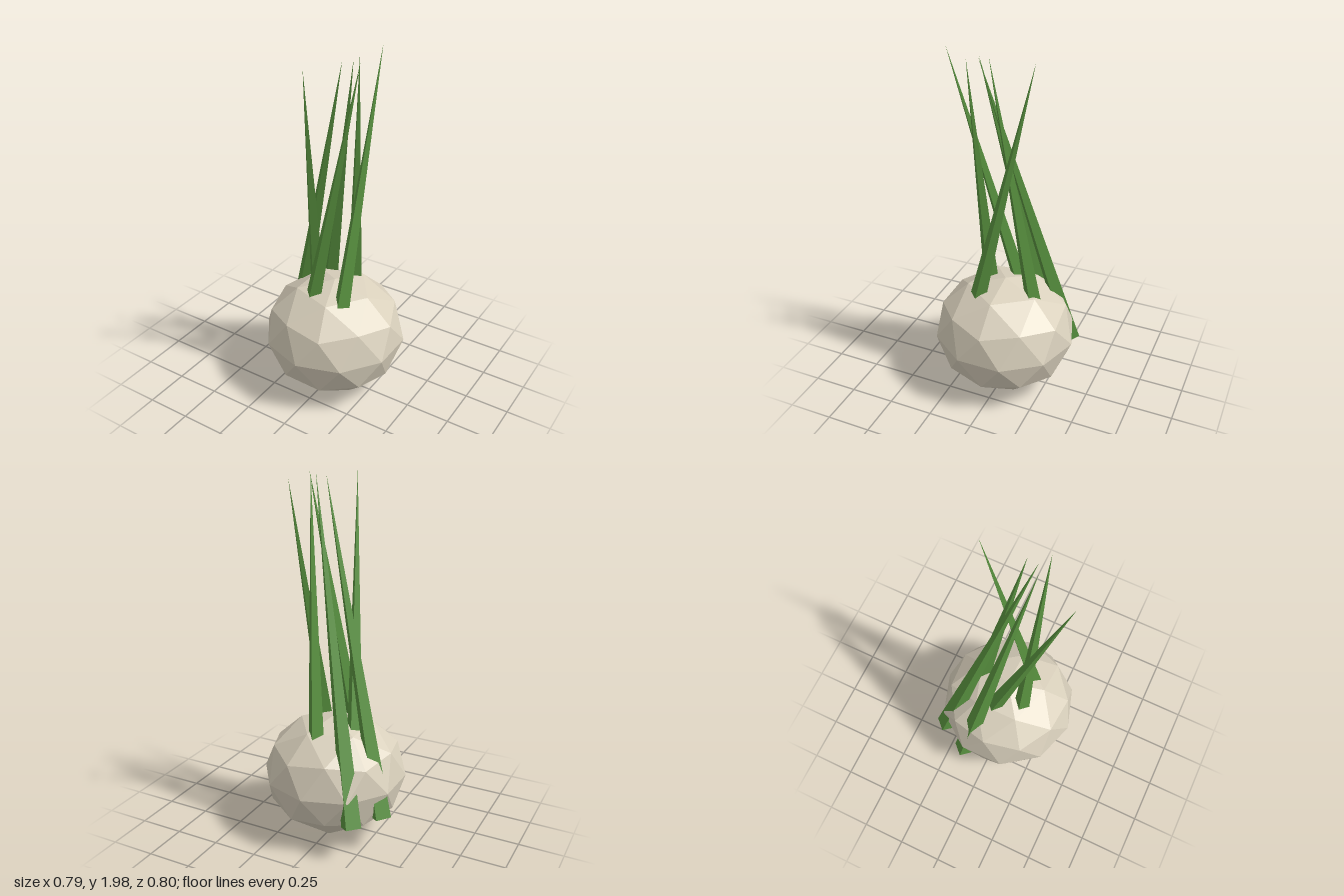
import * as THREE from 'three';

export function createModel() {
  const model = new THREE.Group();
  model.name = 'sproutingBulb';

  const bulbMat = new THREE.MeshStandardMaterial({ color: 0xd9d0bc, flatShading: true });
  bulbMat.name = 'bulb cream';
  const leafMat = new THREE.MeshStandardMaterial({ color: 0x5a9440, flatShading: true });
  leafMat.name = 'leaf green';

  // Bulb: faceted ball with a corner at each pole, slightly squashed
  const bulbGeo = new THREE.IcosahedronGeometry(1, 1);
  bulbGeo.rotateX(-Math.atan2(1 + Math.sqrt(5), 2));
  bulbGeo.rotateY(Math.PI / 2);
  bulbGeo.scale(0.4, 0.34, 0.4);
  const bulb = new THREE.Mesh(bulbGeo, bulbMat);
  bulb.name = 'bulb';
  bulb.position.set(0.012, 0.342, 0);
  model.add(bulb);

  // Leaves: slender four-sided spikes, each from a base centre to a tip
  const leaves = [
    [[-0.242, 0.2, -0.307], [0.16, 1.98, 0.075]],
    [[-0.338, 0.2, -0.137], [0.11, 1.97, 0.095]],
    [[0.0, 0.2, -0.23], [0.16, 1.985, 0.02]],
    [[-0.135, 0.2, 0.12], [0.218, 1.985, 0.11]],
    [[0.122, 0.2, 0.21], [0.155, 1.98, -0.213]],
    [[-0.17, 0.2, -0.13], [0.035, 1.97, 0.31]],
  ];
  const up = new THREE.Vector3(0, 1, 0);
  leaves.forEach(([from, to], i) => {
    const base = new THREE.Vector3(...from);
    const axis = new THREE.Vector3(...to).sub(base);
    const length = axis.length();
    const geo = new THREE.ConeGeometry(0.06, length, 4);
    geo.translate(0, length / 2, 0);
    const leaf = new THREE.Mesh(geo, leafMat);
    leaf.name = 'leaf' + (i + 1);
    leaf.position.copy(base);
    leaf.quaternion.setFromUnitVectors(up, axis.normalize());
    model.add(leaf);
  });

  return model;
}
